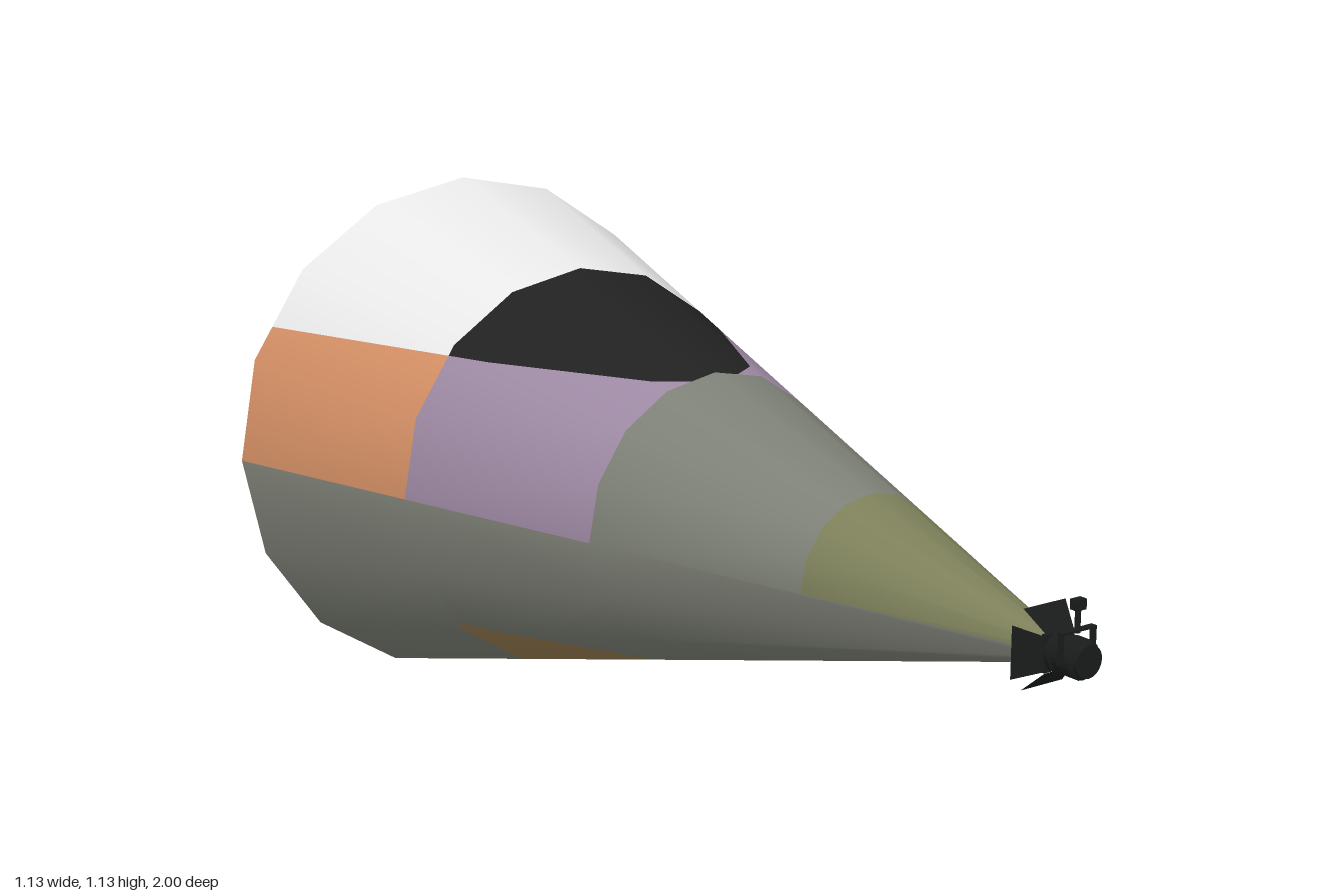
import * as THREE from 'three';

const CY = 0.5635, SLOPE = 0.281, SIDES = 16;
const mat = (name, color, side = THREE.FrontSide) => {
  const m = new THREE.MeshStandardMaterial({ color, side });
  m.name = name;
  return m;
};

// Keep the part of a convex polygon where sign * (y - limit) >= 0
function clipY(poly, limit, sign) {
  const out = [];
  poly.forEach((a, i) => {
    const b = poly[(i + 1) % poly.length];
    const da = sign * (a.y - limit), db = sign * (b.y - limit);
    if (da >= 0) out.push(a);
    if (da * db < 0) out.push(a.clone().lerp(b, da / (da - db)));
  });
  return out;
}

// Patch of the sixteen-sided beam between two z planes and two heights
function beamPatch(zFront, zBack, yMin, yMax) {
  const pos = [], nor = [];
  const point = (i, z) => {
    const a = (i / SIDES) * Math.PI * 2, r = SLOPE * (1.002 - z);
    return new THREE.Vector3(Math.cos(a) * r, Math.sin(a) * r, z);
  };
  for (let i = 0; i < SIDES; i++) {
    let poly = [point(i, zFront), point(i, zBack), point(i + 1, zBack), point(i + 1, zFront)];
    poly = clipY(clipY(poly, yMin, 1), yMax, -1);
    for (let k = 1; k + 1 < poly.length; k++) {
      for (const p of [poly[0], poly[k], poly[k + 1]]) {
        const n = new THREE.Vector3(p.x, p.y, 0).normalize().setZ(SLOPE).normalize();
        pos.push(p.x, p.y + CY, p.z);
        nor.push(n.x, n.y, n.z);
      }
    }
  }
  const g = new THREE.BufferGeometry();
  g.setAttribute('position', new THREE.Float32BufferAttribute(pos, 3));
  g.setAttribute('normal', new THREE.Float32BufferAttribute(nor, 3));
  return g;
}

export function createModel() {
  const root = new THREE.Group();
  root.name = 'spotlightWithBeam';
  const D = THREE.DoubleSide;
  const grey = mat('stone grey', 0x7d8076, D), olive = mat('olive', 0x7c7f59, D);
  const purple = mat('dusty purple', 0x9c88a2, D), orange = mat('clay orange', 0xd28e64, D);
  const white = mat('pale white', 0xe8e8e8, D), black = mat('charcoal', 0x212121, D);
  const brown = mat('tan brown', 0x987c52, D), metal = mat('lamp black', 0x1a1c1c, D);

  const add = (parent, name, geo, material, x = 0, y = 0, z = 0) => {
    const m = new THREE.Mesh(geo, material);
    m.name = name;
    m.position.set(x, y, z);
    parent.add(m);
    return m;
  };

  // Light beam, coloured in blocks by depth and height
  const beam = new THREE.Group();
  beam.name = 'lightBeam';
  root.add(beam);
  const H = 0.282, TOP = 2;
  const z = [0.92, 0.44, -0.04, -0.52, -1];
  [
    ['beamTipUpper', z[0], z[1], 0, TOP, olive],
    ['beamMiddleUpper', z[1], z[2], 0, TOP, grey],
    ['beamSidePanel', z[2], z[3], 0, H, purple],
    ['beamTopPanel', z[2], z[3], H, TOP, black],
    ['beamRimSide', z[3], z[4], 0, H, orange],
    ['beamRimTop', z[3], z[4], H, TOP, white],
    ['beamFrontLower', z[0], z[2], -TOP, 0, grey],
    ['beamBackLower', z[2], z[3], -H, 0, grey],
    ['beamBottomPatch', z[2], z[3], -TOP, -H, brown],
    ['beamRimLower', z[3], z[4], -TOP, 0, grey],
  ].forEach(([name, a, b, lo, hi, m]) => add(beam, name, beamPatch(a, b, lo, hi), m));

  // Lamp, pointing along -z
  const lamp = new THREE.Group();
  lamp.name = 'lamp';
  lamp.position.y = CY;
  root.add(lamp);
  const profile = [[0, 0.922], [0.03, 0.922], [0.036, 0.926], [0.036, 0.94], [0.032, 0.943],
    [0.032, 0.957], [0.035, 0.96], [0.035, 0.988], [0.029, 0.992], [0.029, 1], [0, 1]];
  const housing = new THREE.LatheGeometry(
    profile.map(([r, h]) => new THREE.Vector2(r, h)), 20).toNonIndexed();
  housing.rotateX(Math.PI / 2);
  housing.computeVertexNormals();
  add(lamp, 'housing', housing, metal);
  add(lamp, 'doorFrame', new THREE.BoxGeometry(0.066, 0.066, 0.008), metal, 0, 0, 0.927);

  // Four flared barn doors
  for (let i = 0; i < 4; i++) {
    const reach = 0.071;
    const s = new THREE.Shape([[-0.031, 0], [0.031, 0], [0.047, 1], [-0.047, 1]]
      .map(([x, y]) => new THREE.Vector2(x, y)));
    const g = new THREE.ShapeGeometry(s);
    const p = g.attributes.position;
    for (let k = 0; k < p.count; k++) {
      const t = p.getY(k);
      p.setXYZ(k, p.getX(k), 0.034 + t * (reach - 0.034), 0.93 - t * 0.038);
    }
    g.computeVertexNormals();
    add(lamp, 'barnDoor', g, metal).rotation.z = i * Math.PI / 2;
  }

  // Yoke, post and hanging clamp
  for (const s of [-1, 1]) {
    add(lamp, 'yokeArm', new THREE.BoxGeometry(0.004, 0.05, 0.012), metal, s * 0.036, 0.022, 0.97);
  }
  add(lamp, 'yokeBar', new THREE.BoxGeometry(0.076, 0.004, 0.012), metal, 0, 0.047, 0.97);
  add(lamp, 'post', new THREE.CylinderGeometry(0.005, 0.005, 0.048, 8), metal, 0, 0.066, 0.97);
  add(lamp, 'clamp', new THREE.BoxGeometry(0.022, 0.018, 0.016), metal, 0, 0.091, 0.97);
  return root;
}
